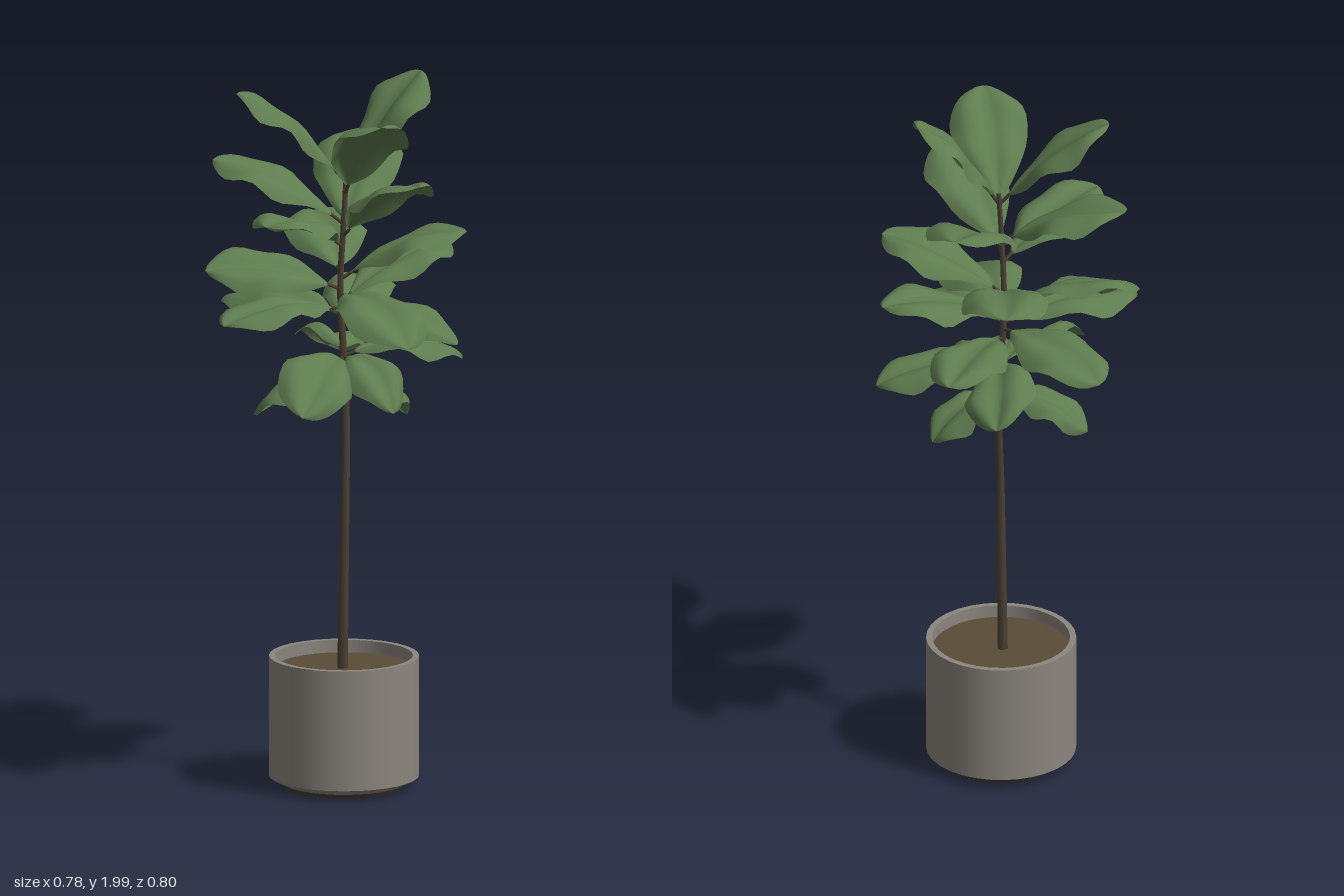
import * as THREE from 'three';

const mat = (name, color, side = THREE.FrontSide) => {
  const m = new THREE.MeshStandardMaterial({ color, side });
  m.name = name;
  return m;
};

// Leaves from top to bottom: stem height, tip x, y, z, half width, optional roll
const LEAVES = [
  [1.70, 0.265, 1.99, 0.02, 0.115],
  [1.70, -0.25, 1.96, -0.13, 0.105],
  [1.67, -0.06, 1.92, 0.30, 0.108],
  [1.57, 0.28, 1.77, -0.27, 0.125],
  [1.59, -0.24, 1.75, -0.26, 0.12],
  [1.55, 0.03, 1.75, 0.35, 0.115],
  [1.52, -0.325, 1.64, 0.12, 0.11],
  [1.43, 0.28, 1.57, 0.22, 0.115],
  [1.44, 0.16, 1.54, -0.35, 0.12],
  [1.40, -0.32, 1.46, -0.18, 0.105, -0.4],
  [1.36, 0.39, 1.48, -0.03, 0.11],
  [1.38, -0.04, 1.31, 0.40, 0.12],
  [1.34, -0.395, 1.35, 0.02, 0.11],
  [1.32, -0.10, 1.31, -0.40, 0.112],
  [1.30, 0.31, 1.34, -0.30, 0.10],
  [1.34, 0.18, 1.28, 0.32, 0.09],
  [1.21, 0.36, 1.18, 0.08, 0.10],
  [1.22, 0.16, 1.17, -0.29, 0.10, 0.3],
  [1.20, -0.29, 1.12, 0.25, 0.105, -0.4],
  [1.20, 0.0, 1.10, 0.27, 0.083],
  [1.10, 0.23, 1.02, -0.01, 0.082],
  [1.11, -0.17, 1.04, -0.16, 0.082],
];

// Obovate blade swept along a curve: creased midrib, edges curled under and ruffled
function bladeGeometry(curve, halfWidth, roll, seed) {
  const rows = 16, cols = 10, pos = [], index = [];
  const dir = curve.getPoint(1).sub(curve.getPoint(0)).setY(0).normalize();
  const flatSide = dir.clone().cross(new THREE.Vector3(0, 1, 0));
  for (let i = 0; i <= rows; i++) {
    const k = i / rows;
    const t = 0.3 * k + 0.7 * (0.5 - 0.5 * Math.cos(Math.PI * k));
    const s = 0.08 + 0.92 * t;
    const c = curve.getPoint(s), tan = curve.getTangent(s);
    const side = flatSide.clone().applyAxisAngle(tan, roll);
    const up = side.clone().cross(tan).normalize();
    const fade = Math.pow(Math.max(0, Math.sin(Math.PI * Math.pow(t, 1.35))), 0.58);
    for (let j = 0; j <= cols; j++) {
      const u = (j / cols) * 2 - 1, a = Math.abs(u);
      const ruffle = Math.sin(t * 12 + seed * 1.7 + (u > 0 ? 1.9 : 0)) * 0.016 * a * a;
      const lift = (0.055 * a - 0.07 * a * a * a + ruffle) * fade;
      const p = c.clone().addScaledVector(side, halfWidth * fade * u).addScaledVector(up, lift);
      pos.push(p.x, p.y, p.z);
    }
  }
  for (let i = 0; i < rows; i++) {
    for (let j = 0; j < cols; j++) {
      const a = i * (cols + 1) + j, b = a + cols + 1;
      index.push(a, a + 1, b, a + 1, b + 1, b);
    }
  }
  const g = new THREE.BufferGeometry();
  g.setAttribute('position', new THREE.Float32BufferAttribute(pos, 3));
  g.setIndex(index);
  g.computeVertexNormals();
  return g;
}

// Trunk: a tube that narrows towards the top
function trunkGeometry(curve, r0, r1) {
  const seg = 24, sides = 8;
  const g = new THREE.TubeGeometry(curve, seg, 1, sides);
  const p = g.attributes.position, v = new THREE.Vector3();
  for (let i = 0; i < p.count; i++) {
    const t = Math.floor(i / (sides + 1)) / seg;
    const c = curve.getPointAt(t);
    v.fromBufferAttribute(p, i).sub(c).multiplyScalar(r0 + (r1 - r0) * t).add(c);
    p.setXYZ(i, v.x, v.y, v.z);
  }
  return g;
}

export function createModel() {
  const group = new THREE.Group();
  const leafGreen = mat('leaf green', 0x5f7d50, THREE.DoubleSide);
  const bark = mat('bark brown', 0x4b4033);
  const concrete = mat('concrete grey', 0x8b867e);
  const earth = mat('soil brown', 0x5a4d38);
  const baseDark = mat('base dark', 0x463e32);

  const add = (name, geo, material, parent = group) => {
    const m = new THREE.Mesh(geo, material);
    m.name = name;
    parent.add(m);
    return m;
  };

  // Pot with bevelled underside, thin rim and soil
  const pot = new THREE.Group();
  pot.name = 'pot';
  pot.position.set(0.015, 0, 0.008);
  group.add(pot);
  const ring = (name, r0, y0, r1, y1) => add(name, new THREE.LatheGeometry(
    [new THREE.Vector2(r0, y0), new THREE.Vector2(r1, y1)], 32), concrete, pot);
  ring('potBevel', 0.172, 0.012, 0.207, 0.03);
  ring('potWall', 0.207, 0.03, 0.207, 0.368);
  ring('potRim', 0.207, 0.368, 0.19, 0.368);
  ring('potInside', 0.19, 0.368, 0.19, 0.32);
  add('potFoot', new THREE.CylinderGeometry(0.172, 0.164, 0.012, 32), baseDark, pot).position.y = 0.006;
  add('soil', new THREE.CylinderGeometry(0.192, 0.192, 0.02, 32), earth, pot).position.y = 0.323;

  // Slightly wavy trunk
  const trunk = new THREE.CatmullRomCurve3([
    [0.01, 0.32, 0.008], [0.012, 0.6, 0.012], [0.014, 0.85, 0.016], [0.022, 1.0, 0.008],
    [0.02, 1.2, 0.0], [0.012, 1.4, -0.006], [0.012, 1.6, 0.012], [0.022, 1.74, 0.01],
  ].map((p) => new THREE.Vector3(...p)));
  add('trunk', trunkGeometry(trunk, 0.015, 0.007), bark);
  const trunkPoints = trunk.getPoints(150);
  const trunkAt = (y) => trunkPoints.reduce(
    (best, p) => (Math.abs(p.y - y) < Math.abs(best.y - y) ? p : best));

  // Leaves on short stalks; drooping ones arch more
  LEAVES.forEach(([y, tipX, tipY, tipZ, halfWidth, roll = 0], i) => {
    const leaf = new THREE.Group();
    leaf.name = 'leaf' + (i + 1);
    group.add(leaf);
    const base = trunkAt(y), tip = new THREE.Vector3(tipX, tipY, tipZ);
    const mid = base.clone().lerp(tip, 0.5);
    mid.y += 0.06 + 0.5 * Math.max(0, y - tipY);
    const curve = new THREE.QuadraticBezierCurve3(base, mid, tip);
    add('blade', bladeGeometry(curve, halfWidth, roll, i), leafGreen, leaf);
    const stalk = new THREE.LineCurve3(base, curve.getPoint(0.1));
    add('stalk', new THREE.TubeGeometry(stalk, 1, 0.005, 5), bark, leaf);
  });

  return group;
}
